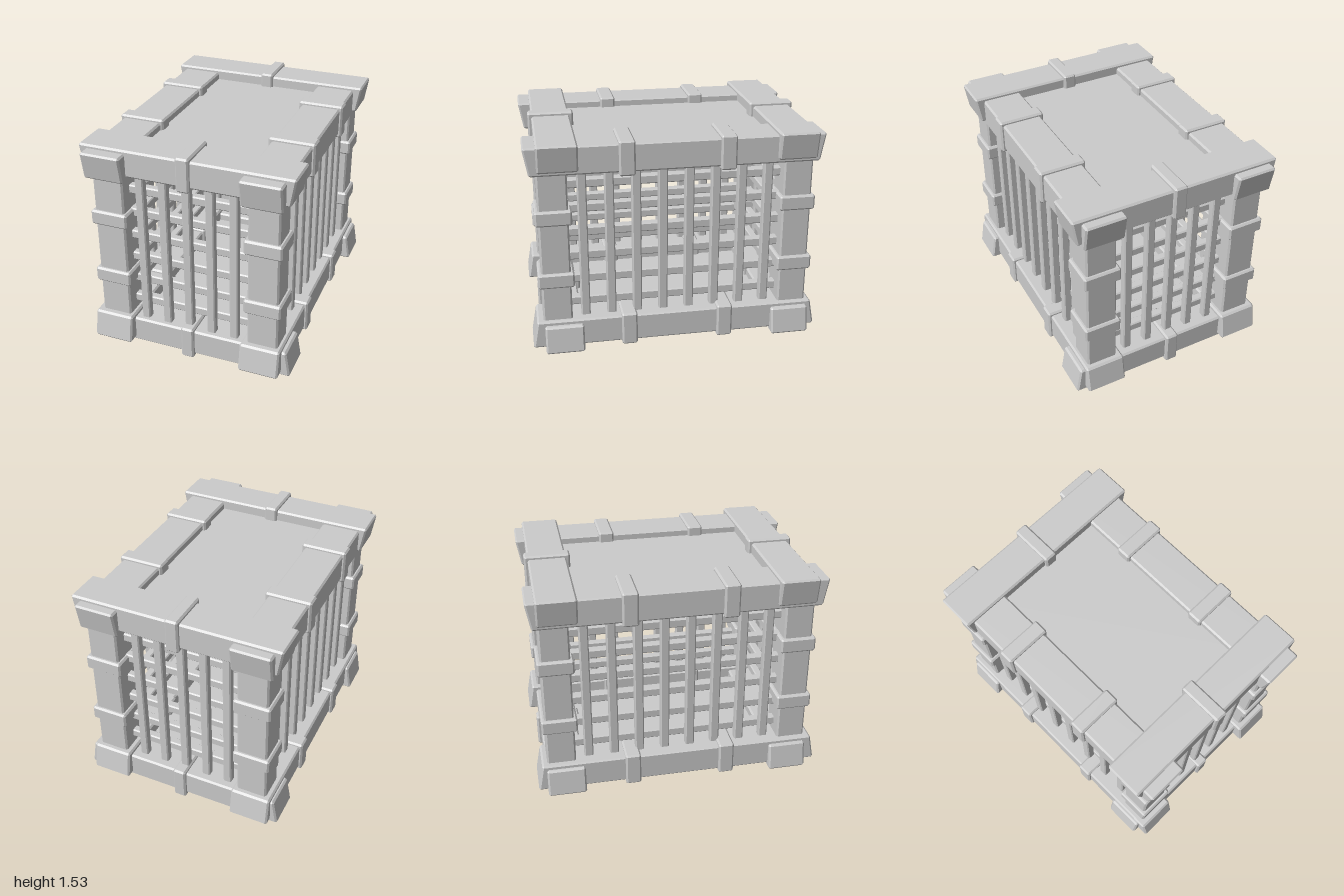
import * as THREE from 'three';
import { ConvexGeometry } from 'three/addons/geometries/ConvexGeometry.js';

const material = new THREE.MeshStandardMaterial({ color: 0xcccccc, flatShading: true });

// Box with chamfered edges; warp(point) may reshape the corners
function chamferBox(w, h, d, c, warp) {
  const half = [w / 2, h / 2, d / 2];
  const points = [];
  for (const sx of [-1, 1]) for (const sy of [-1, 1]) for (const sz of [-1, 1]) {
    for (let axis = 0; axis < 3; axis++) {
      const p = [sx, sy, sz].map((s, i) => s * (half[i] - (i === axis ? 0 : c)));
      const v = new THREE.Vector3(...p);
      if (warp) warp(v);
      points.push(v);
    }
  }
  return new ConvexGeometry(points);
}

export function createModel() {
  const model = new THREE.Group();
  model.name = 'cage';

  function add(parent, name, size, pos, chamfer = 0.012, warp) {
    const mesh = new THREE.Mesh(chamferBox(...size, chamfer, warp), material);
    mesh.name = name;
    mesh.position.set(...pos);
    parent.add(mesh);
    return mesh;
  }
  function group(name) {
    const g = new THREE.Group();
    g.name = name;
    model.add(g);
    return g;
  }

  const X = 0.54, Z = 0.793;    // frame centre lines
  const DX = -0.005, DZ = -0.01; // slight offset of the frame

  // Top and bottom beams: ends flare outward, away from the cage
  const frame = group('frame');
  for (const up of [-1, 1]) {
    const level = up > 0 ? 'top' : 'bottom';
    const crossY = up > 0 ? 1.42 : 0.125;
    const sideY = up > 0 ? 1.393 : 0.152;
    const flare = (axis, half, inset) => (v) => {
      const t = 0.5 - (up * v.y) / 0.19;
      v[axis] *= 1 - (inset * t) / half;
    };
    for (const s of [-1, 1]) {
      const z = s * Z + DZ, x = s * X + DX;
      add(frame, `${level}CrossBeam`, [1.476, 0.19, 0.265], [0, crossY, z], 0.012, flare('x', 0.738, 0.032));
      add(frame, `${level}CrossBand`, [0.092, 0.238, 0.315], [0, crossY, z]);
      add(frame, `${level}SideBeam`, [0.28, 0.195, 2.0], [x, sideY, 0], 0.012, flare('z', 1, 0.035));
      for (const bz of [-0.335, 0.335]) {
        add(frame, `${level}SideBand`, [0.322, 0.238, 0.108], [x, sideY, bz]);
      }
    }
  }

  // Corner posts with two bands each
  for (const sx of [-1, 1]) for (const sz of [-1, 1]) {
    const post = group('cornerPost');
    const x = sx * X, z = sz * 0.825 - 0.003;
    add(post, 'post', [0.215, 1.1, 0.2], [x, 0.772, z]);
    for (const y of [0.547, 0.998]) {
      add(post, 'postBand', [0.26, 0.105, 0.245], [x, y, z]);
    }
  }

  // Floor and roof panels
  add(model, 'roofPanel', [1.06, 0.06, 1.56], [0, 1.41, 0], 0.004);
  add(model, 'floorPanel', [1.06, 0.06, 1.56], [0, 0.13, 0], 0.004);

  // Lattices: upright bars outside, horizontal bars behind them
  const bar = 0.058;
  for (const s of [-1, 1]) {
    const end = group(s > 0 ? 'frontLattice' : 'backLattice');
    for (let i = -2; i <= 2; i++) {
      add(end, 'uprightBar', [bar, 1.2, bar], [-0.008 + i * 0.164, 0.772, s * 0.85], 0.008);
    }
    const side = group(s > 0 ? 'leftLattice' : 'rightLattice');
    for (let i = 0; i < 8; i++) {
      add(side, 'uprightBar', [bar, 1.2, 0.062], [s * 0.58, 0.772, (i - 3.5) * 0.18 - 0.003], 0.008);
    }
    for (let i = 0; i < 6; i++) {
      const y = 0.335 + i * 0.172;
      add(end, 'horizontalBar', [0.96, 0.062, bar], [0, y, s * 0.8], 0.008);
      add(side, 'horizontalBar', [bar, 0.062, 1.5], [s * 0.53, y, 0], 0.008);
    }
  }

  return model;
}
